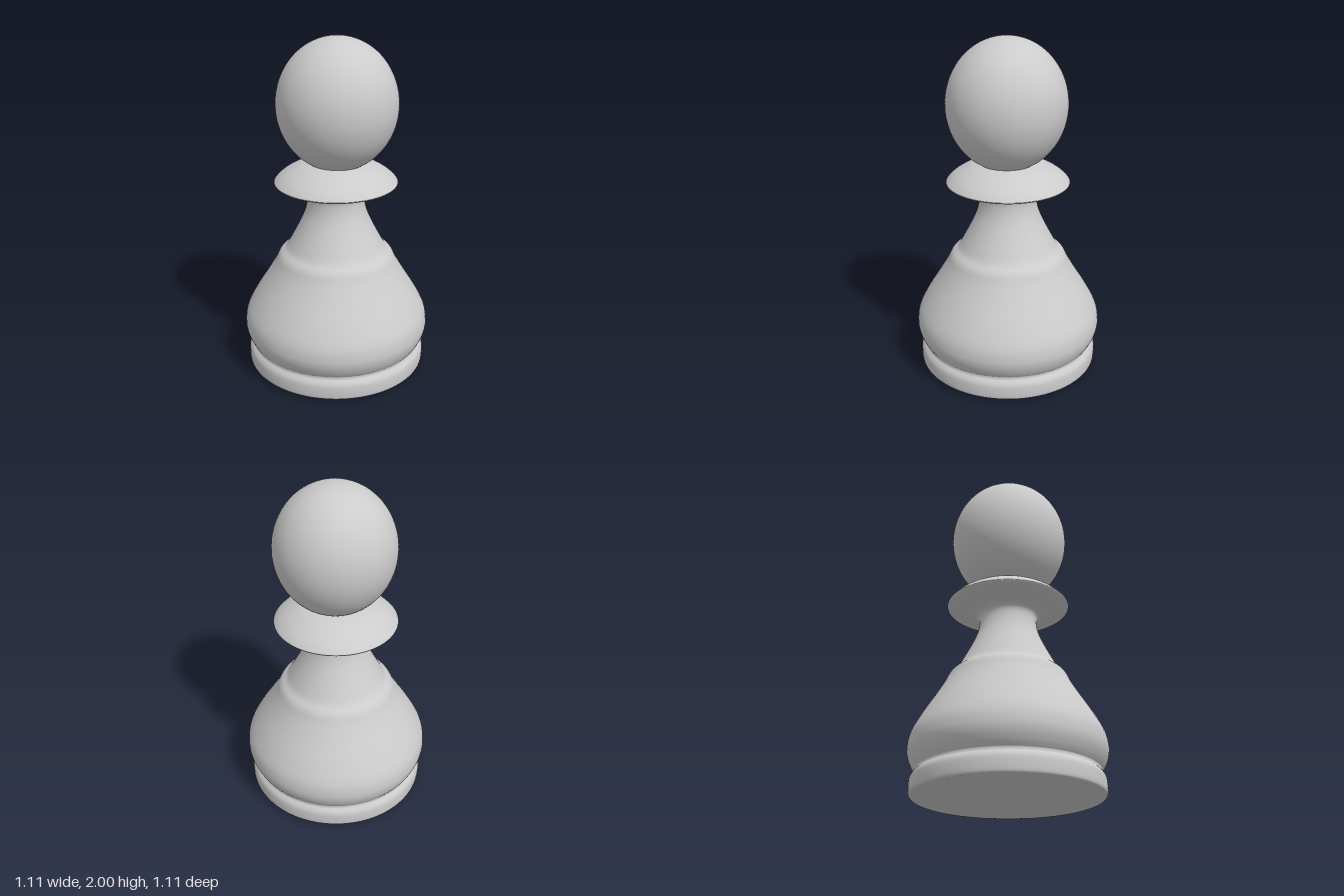
import * as THREE from 'three';

const material = new THREE.MeshStandardMaterial({ color: 0xcccccc });
const SEGMENTS = 96;

// Smooth curve through [radius, height] pairs
function curve(pairs, steps) {
  const points = pairs.map(([r, y]) => new THREE.Vector2(r, y));
  return new THREE.SplineCurve(points).getPoints(steps);
}

// Turned part; profile runs from bottom to top
function turned(name, points) {
  const mesh = new THREE.Mesh(new THREE.LatheGeometry(points, SEGMENTS), material);
  mesh.name = name;
  return mesh;
}

export function createModel() {
  const pawn = new THREE.Group();
  pawn.name = 'pawn';

  // Underside, very slightly domed down to the ground
  pawn.add(turned('underside', [[0, 0], [0.16, 0.004], [0.5, 0.011], [0.53, 0.014]]
    .map(([r, y]) => new THREE.Vector2(r, y))));

  // Foot ring, up to the groove
  pawn.add(turned('foot', curve([
    [0.53, 0.014], [0.538, 0.024], [0.54, 0.06], [0.537, 0.1], [0.526, 0.122],
    [0.515, 0.135], [0.513, 0.15], [0.518, 0.157],
  ], 28)));

  // Bulging body, up to the rounded shoulder
  pawn.add(turned('body', curve([
    [0.518, 0.157], [0.535, 0.185], [0.552, 0.23], [0.556, 0.28], [0.542, 0.35],
    [0.49, 0.45], [0.415, 0.57], [0.368, 0.65], [0.338, 0.71], [0.3, 0.745], [0.28, 0.775],
  ], 44)));

  // Concave neck
  pawn.add(turned('neck', curve([
    [0.28, 0.775], [0.225, 0.88], [0.185, 0.97], [0.169, 1.04], [0.172, 1.085],
    [0.195, 1.108], [0.245, 1.127],
  ], 36)));

  // Collar disc, domed on top with a thin rim
  pawn.add(turned('collar', [
    ...curve([[0.245, 1.127], [0.3, 1.137], [0.345, 1.148], [0.36, 1.157], [0.357, 1.168],
      [0.325, 1.2], [0.28, 1.231], [0.22, 1.262], [0.16, 1.28]], 40),
    new THREE.Vector2(0, 1.285),
  ]));

  // Slightly tall ball head, set a hair off centre
  const head = new THREE.Mesh(new THREE.SphereGeometry(1, SEGMENTS, 64), material);
  head.name = 'head';
  head.scale.set(0.348, 0.382, 0.35);
  head.position.set(-0.002, 1.618, 0.01);
  pawn.add(head);

  return pawn;
}
